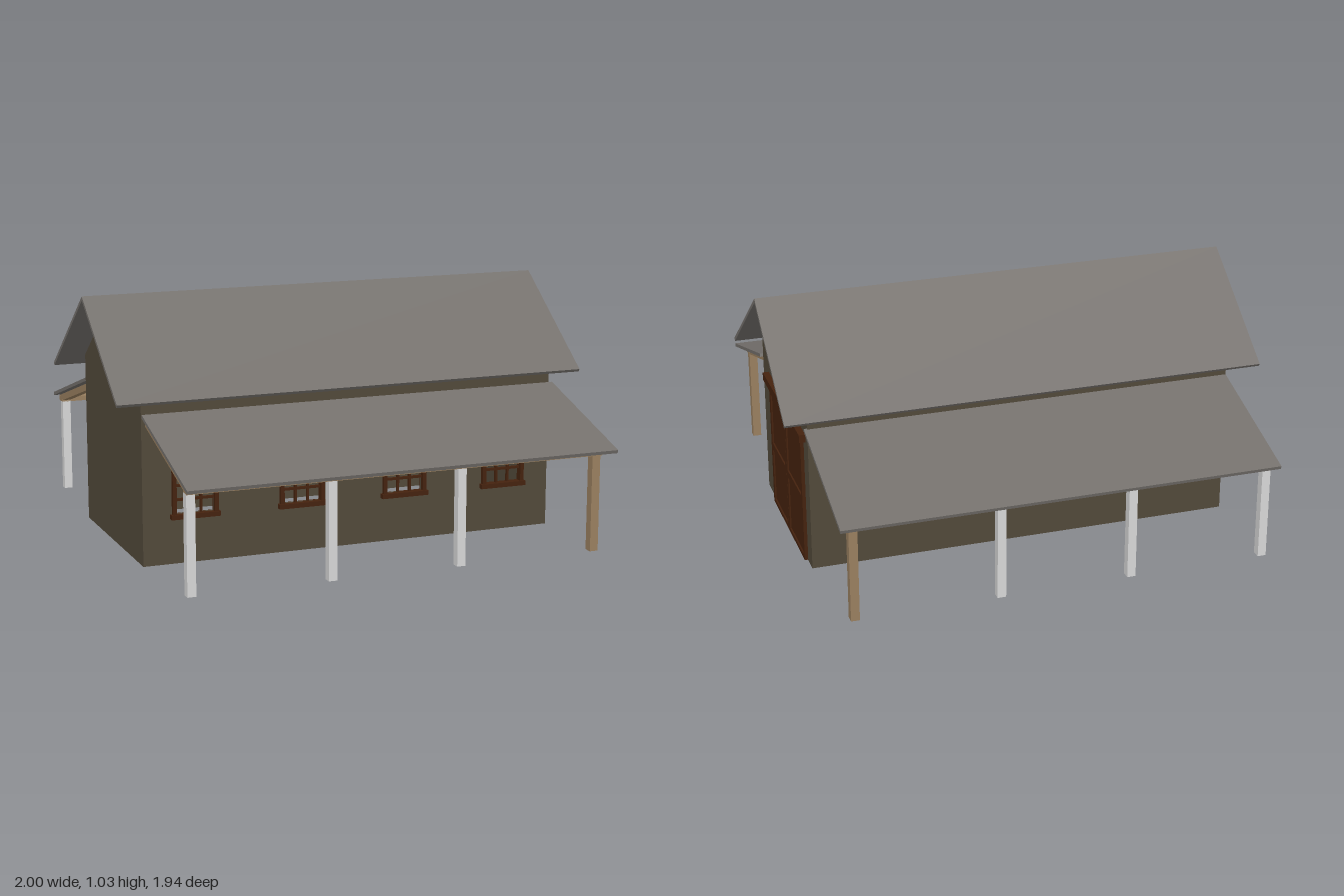
import * as THREE from 'three';

const mat = (name, color, side = THREE.FrontSide) => {
  const m = new THREE.MeshStandardMaterial({ color, side });
  m.name = name;
  return m;
};

export function createModel() {
  const barn = new THREE.Group();
  barn.name = 'barn';
  const wall = mat('wall brown', 0x52493a, THREE.DoubleSide);
  const roof = mat('roof grey', 0x74706c);
  const door = mat('dark red wood', 0x45220e);
  const wood = mat('light timber', 0x9a8060);
  const pale = mat('pale post', 0xd8d8d8);

  const X0 = -0.883, X1 = 0.895, ZC = -0.008, HALF = 0.403;
  const EAVE = 0.712, PEAK = 1.008, T = 0.01;

  // Box given by its lower and upper limits on each axis
  const box = (name, m, [x0, x1], [y0, y1], [z0, z1], parent = barn) => {
    const b = new THREE.Mesh(new THREE.BoxGeometry(x1 - x0, y1 - y0, z1 - z0), m);
    b.position.set((x0 + x1) / 2, (y0 + y1) / 2, (z0 + z1) / 2);
    b.name = name;
    parent.add(b);
    return b;
  };

  // Sloping slab whose top runs between two [z, y] points, lower z first
  const slab = (name, m, [x0, x1], [za, ya], [zb, yb], t) => {
    const dz = zb - za, dy = yb - ya, a = -Math.atan2(dy, dz);
    const s = new THREE.Mesh(new THREE.BoxGeometry(x1 - x0, t, Math.hypot(dz, dy)), m);
    s.rotation.x = a;
    s.position.set((x0 + x1) / 2, (ya + yb) / 2 - Math.cos(a) * t / 2, (za + zb) / 2 - Math.sin(a) * t / 2);
    s.name = name;
    barn.add(s);
  };
  // The same slab on either side of the building
  const sideSlab = (name, m, xs, inner, outer, t, side, c = 0) => {
    const p = [c + side * inner[0], inner[1]], q = [c + side * outer[0], outer[1]];
    side > 0 ? slab(name, m, xs, p, q, t) : slab(name, m, xs, q, p, t);
  };

  const windowXs = [-0.668, -0.215, 0.235, 0.684];
  const postXs = [-0.85, -0.284, 0.257, 0.845];
  const OW = 0.079, OY0 = 0.203, OY1 = 0.374;

  // Long walls with real window openings
  const wallShape = new THREE.Shape([
    [X0, 0], [X1, 0], [X1, EAVE], [X0, EAVE],
  ].map(p => new THREE.Vector2(...p)));
  for (const x of windowXs) {
    wallShape.holes.push(new THREE.Path([
      [x - OW, OY0], [x - OW, OY1], [x + OW, OY1], [x + OW, OY0],
    ].map(p => new THREE.Vector2(...p))));
  }
  const longGeo = new THREE.ExtrudeGeometry(wallShape, { depth: T, bevelEnabled: false });
  for (const [name, z] of [['frontWall', ZC + HALF - T], ['backWall', ZC - HALF]]) {
    const w = new THREE.Mesh(longGeo, wall);
    w.position.z = z;
    w.name = name;
    barn.add(w);
  }

  // Gable end walls
  const gable = new THREE.Shape([
    [-HALF, 0], [HALF, 0], [HALF, EAVE], [0, PEAK], [-HALF, EAVE],
  ].map(p => new THREE.Vector2(...p)));
  const gableGeo = new THREE.ExtrudeGeometry(gable, { depth: T, bevelEnabled: false });
  gableGeo.rotateY(Math.PI / 2);
  for (const [name, x] of [['leftGable', X1 - T], ['rightGable', X0]]) {
    const g = new THREE.Mesh(gableGeo, wall);
    g.position.set(x, 0, ZC);
    g.name = name;
    barn.add(g);
  }

  // Window: casing, sill and three-by-three glazing bars
  const addWindow = (x, side) => {
    const w = new THREE.Group();
    w.name = 'window';
    const D = [-0.014, 0.018];
    for (const s of [-1, 1]) {
      const e = [s * OW, s * 0.095].sort((a, b) => a - b);
      box('windowJamb', door, e, [0.19, 0.39], D, w);
    }
    box('windowHead', door, [-OW, OW], [OY1, 0.39], D, w);
    box('windowSill', door, [-0.102, 0.102], [0.184, OY0], [-0.014, 0.024], w);
    for (const f of [1 / 3, 2 / 3]) {
      const bx = -OW + 2 * OW * f, by = OY0 + (OY1 - OY0) * f;
      box('uprightBar', door, [bx - 0.0045, bx + 0.0045], [OY0, OY1], [-0.008, 0.006], w);
      box('crossBar', door, [-OW, OW], [by - 0.0045, by + 0.0045], [-0.008, 0.006], w);
    }
    w.position.set(x, 0, ZC + side * HALF);
    if (side < 0) w.rotation.y = Math.PI;
    barn.add(w);
  };

  for (const side of [1, -1]) {
    // Main roof slope
    sideSlab('mainRoof', roof, [-1, 1], [0, 1.026], [0.478, 0.674], 0.014, side, ZC);
    // Lean-to roof
    sideSlab('porchRoof', roof, [-0.883, 0.907], [0.405, 0.615], [0.968, 0.444], 0.014, side);
    // Porch beam, rafters and posts
    const at = (a, b) => (side > 0 ? [a, b] : [-b, -a]);
    box('porchBeam', wood, [-0.868, 0.864], [0.417, 0.438], at(0.87, 0.922));
    postXs.forEach((x, i) => {
      const xs = [x - 0.0175, x + 0.0175];
      sideSlab('rafter', wood, xs, [0.395, 0.596], [0.915, 0.44], 0.028, side);
      box('post', i === 3 ? wood : pale, xs, [0.02, 0.42], at(0.87, 0.906));
    });
    windowXs.forEach(x => addWindow(x, side));
  }

  // Sliding double door with recessed panels and a track above
  const DX = X1, MID = -0.053;
  for (const side of [1, -1]) {
    const zs = (a, b) => [MID + side * a, MID + side * b].sort((p, q) => p - q);
    box('doorPanel', door, [DX, DX + 0.008], [0.004, 0.526], zs(0.001, 0.282));
    for (const [a, b] of [[0.001, 0.023], [0.26, 0.284]]) {
      box('doorStile', door, [DX, DX + 0.014], [0.002, 0.528], zs(a, b));
    }
    for (const [a, b] of [[0.002, 0.02], [0.253, 0.285], [0.508, 0.528]]) {
      box('doorRail', door, [DX, DX + 0.014], [a, b], zs(0.023, 0.26));
    }
  }
  box('doorTrack', door, [DX, DX + 0.026], [0.542, 0.575], [-0.373, 0.293]);

  return barn;
}
